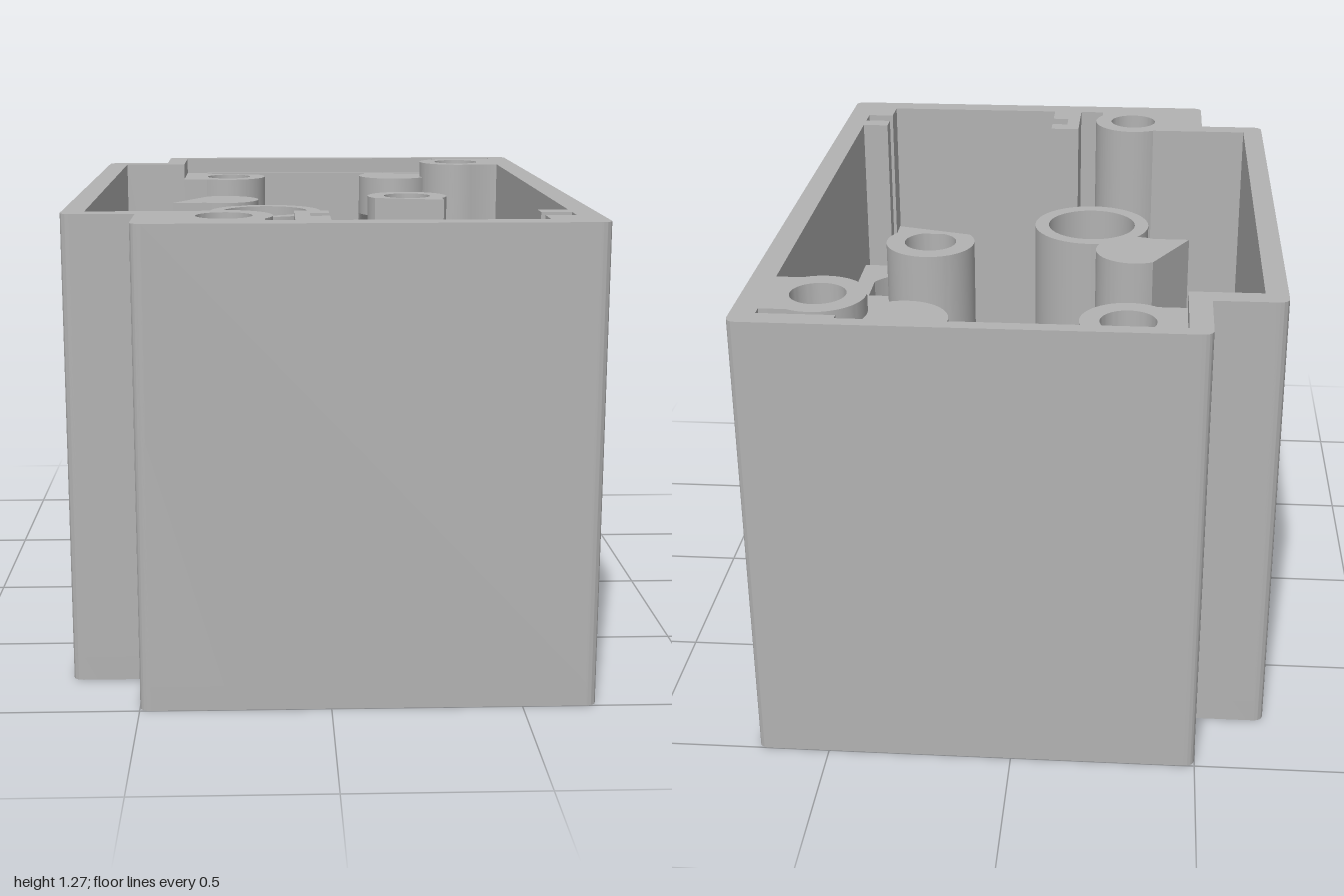
import * as THREE from 'three';
import { toCreasedNormals } from 'three/addons/utils/BufferGeometryUtils.js';

const FLOOR = 0.065, TOP = 1.27;

// Closed plan outline in (x, z) with small rounded corners where r > 0
function outline(points) {
  const shape = new THREE.Shape();
  const n = points.length;
  points.forEach(([x, z, r = 0], i) => {
    const toward = ([px, pz]) => {
      const d = Math.hypot(px - x, pz - z);
      return [x + (px - x) * r / d, z + (pz - z) * r / d];
    };
    const a = toward(points[(i + n - 1) % n]), b = toward(points[(i + 1) % n]);
    if (i === 0) shape.moveTo(...a); else shape.lineTo(...a);
    if (r) shape.quadraticCurveTo(x, z, ...b);
  });
  shape.closePath();
  return shape;
}

function circle(x, z, r) {
  const p = new THREE.Path();
  p.absarc(x, z, r, 0, Math.PI * 2, false);
  return p;
}

function lines(path, points) {
  points.forEach(([x, z]) => path.lineTo(x, z));
  return path;
}

// Stand a plan outline up between two heights
function rise(shape, y0, y1) {
  const geo = new THREE.ExtrudeGeometry(shape, { depth: y1 - y0, bevelEnabled: false, curveSegments: 28 });
  geo.rotateX(Math.PI / 2).translate(0, y1, 0);
  return geo;
}

export function createModel() {
  const model = new THREE.Group();
  const grey = new THREE.MeshStandardMaterial({ color: 0xb2b2b2 });
  grey.name = 'plastic grey';
  const add = (name, geo) => {
    const mesh = new THREE.Mesh(toCreasedNormals(geo, 0.5), grey);
    mesh.name = name;
    model.add(mesh);
  };

  const shell = () => outline([
    [-0.5, -1, 0.03], [0.695, -1, 0.03], [0.695, 1, 0.03], [-0.5, 1, 0.03],
    [-0.5, 0.78], [-0.695, 0.78, 0.03], [-0.695, -0.78, 0.03], [-0.5, -0.78],
  ]);

  // Floor with the square window and the round opening
  const floor = shell();
  floor.holes.push(
    outline([[-0.01, -0.74], [0.47, -0.74], [0.47, -0.24], [-0.01, -0.24]]),
    circle(-0.165, 0, 0.127));
  add('floor', rise(floor, 0, FLOOR));

  // Walls: the cavity outline carries two corner bosses and the grooved ribs
  const cavity = new THREE.Path();
  cavity.moveTo(-0.635, -0.72);
  lines(cavity, [[-0.44, -0.72], [-0.44, -0.96], [0.43, -0.96], [0.43, -0.94],
    [0.63, -0.94], [0.63, -0.91]]);
  cavity.absarc(0.5, -0.8, 0.125, -1.078, 1.078, true);
  lines(cavity, [[0.63, -0.69], [0.63, 0.72], [0.55, 0.72], [0.55, 0.775], [0.63, 0.775],
    [0.63, 0.84], [0.55, 0.84], [0.55, 0.93], [0, 0.93], [0, 0.84], [-0.05, 0.84],
    [-0.05, 0.775], [0, 0.775], [0, 0.72], [-0.09, 0.72], [-0.09, 0.93], [-0.165, 0.93]]);
  cavity.absarc(-0.27, 0.825, 0.125, 0.574, -2.146, true);
  lines(cavity, [[-0.635, 0.72]]);
  cavity.closePath();
  const walls = shell();
  walls.holes.push(cavity, circle(0.5, -0.8, 0.073), circle(-0.27, 0.825, 0.073));
  add('walls', rise(walls, FLOOR, TOP));

  // Step below the rim of the back wall
  add('backLedge', rise(outline([[-0.44, -0.96], [0.43, -0.96], [0.43, -0.94], [-0.44, -0.94]]), FLOOR, 1.22));

  // Round sleeve over the floor opening
  const sleeve = new THREE.Shape();
  sleeve.absarc(-0.165, 0, 0.167, 0, Math.PI * 2, false);
  sleeve.holes.push(circle(-0.165, 0, 0.127));
  add('sleeve', rise(sleeve, FLOOR, 1.19));

  // Screw post joined to the back corner
  const corner = new THREE.Shape();
  corner.moveTo(-0.19, -0.94);
  corner.absarc(-0.29, -0.81, 0.125, -0.6, 2.2, false);
  lines(corner, [[-0.44, -0.709], [-0.44, -0.94]]);
  corner.closePath();
  corner.holes.push(circle(-0.29, -0.81, 0.073));
  add('cornerPost', rise(corner, FLOOR, 1.22));

  // Screw post with a square foot beside the window
  const post = new THREE.Shape();
  post.moveTo(0.18, -0.11);
  post.absarc(0.285, -0.235, 0.125, Math.PI - 0.57, 0.57, false);
  lines(post, [[0.39, -0.11]]);
  post.closePath();
  post.holes.push(circle(0.285, -0.235, 0.073));
  add('windowPost', rise(post, FLOOR, 1.21));

  // Solid rounded post
  const solid = new THREE.Shape();
  solid.moveTo(-0.45, -0.33);
  solid.absarc(-0.295, -0.235, 0.109, -2.08, 2.08, false);
  lines(solid, [[-0.45, -0.14]]);
  solid.closePath();
  add('solidPost', rise(solid, FLOOR, 1.2));

  // Rounded lug on the back wall, with an underside sloping into the wall
  const lug = new THREE.Shape();
  lug.moveTo(0.385, -0.945);
  lug.absarc(0.285, -0.83, 0.12, -0.586, Math.PI + 0.586, false);
  lines(lug, [[0.185, -0.945]]);
  lug.closePath();
  add('wallLug', rise(lug, 1.09, 1.22));
  const slope = rise(lug, 0.97, 1.09);
  const pos = slope.attributes.position;
  for (let i = 0; i < pos.count; i++) {
    if (pos.getY(i) < 1.0) pos.setZ(i, -0.945 + (pos.getZ(i) + 0.945) * 0.05);
  }
  slope.computeVertexNormals();
  add('wallLugSlope', slope);

  // Side rib and the cradle with its round recess
  add('sideRib', rise(outline([[0.42, -0.18], [0.64, -0.18], [0.64, -0.085], [0.42, -0.085]]), FLOOR, 0.98));
  const cradle = new THREE.Shape();
  cradle.moveTo(0.64, 0.09);
  lines(cradle, [[0.315, 0.09], [0.315, 0.152]]);
  cradle.absarc(0.385, 0.365, 0.225, -1.887, -0.565, false);
  cradle.absarc(0.385, 0.365, 0.225, 0.565, 1.887, false);
  lines(cradle, [[0.315, 0.64], [0.64, 0.64]]);
  cradle.closePath();
  add('cradle', rise(cradle, FLOOR, 0.8));

  return model;
}
